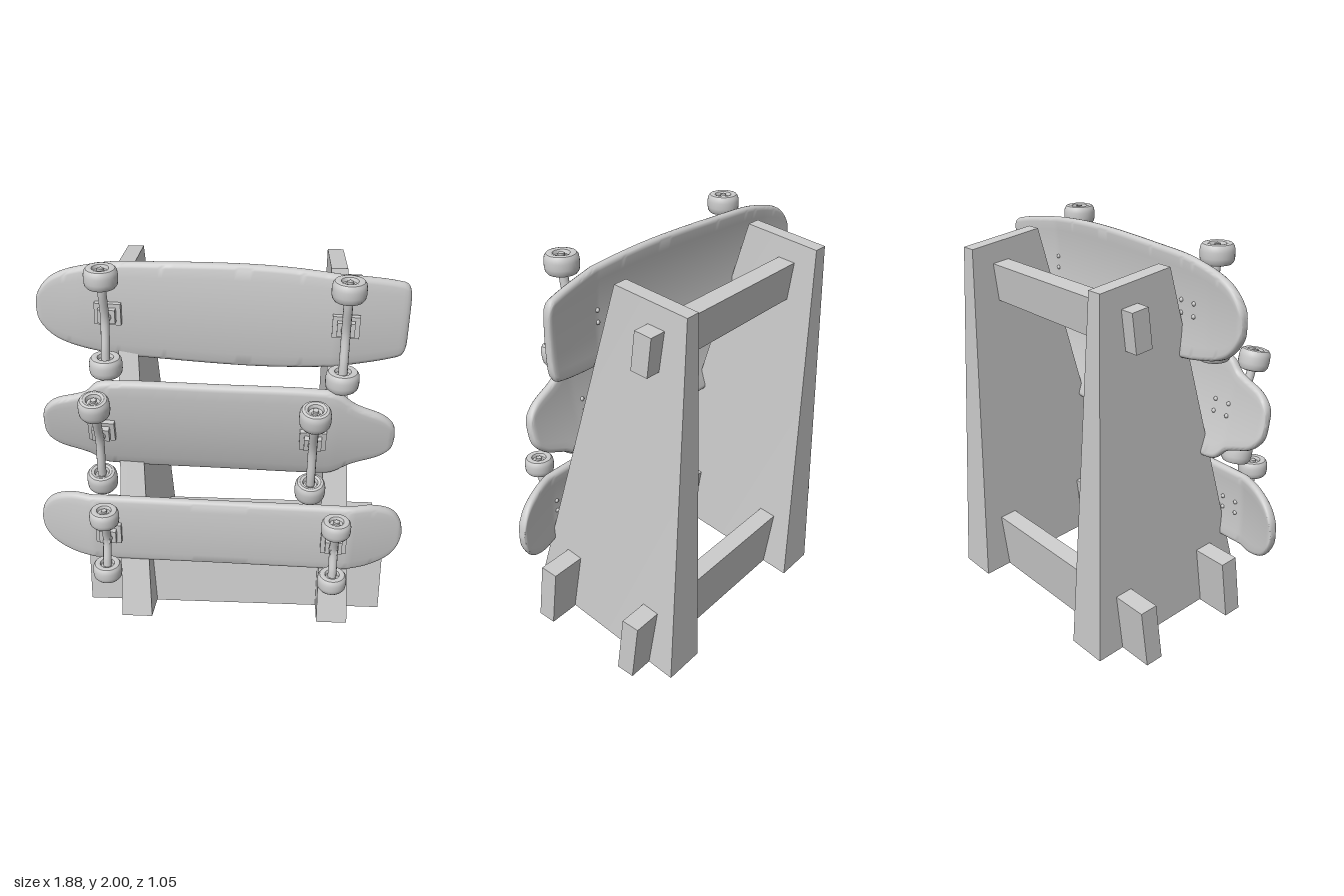
import * as THREE from 'three';
import { toCreasedNormals } from 'three/addons/utils/BufferGeometryUtils.js';

const material = new THREE.MeshStandardMaterial({ color: 0xcccccc, side: THREE.DoubleSide });

function add(parent, name, geometry, x = 0, y = 0, z = 0) {
  const mesh = new THREE.Mesh(geometry, material);
  mesh.name = name;
  mesh.position.set(x, y, z);
  parent.add(mesh);
  return mesh;
}

// Tapered, leaning upright: straight on the right, flaring on the left toward the foot
function uprightGeometry() {
  const geometry = new THREE.BoxGeometry(1, 1, 1);
  const p = geometry.attributes.position;
  const corners = { // [thickness, y, z]
    topFront: [0.08, 1.92, -0.115], topBack: [0.08, 1.865, -0.51],
    bottomFront: [0.16, 0.13, 0.4], bottomBack: [0.22, 0.005, -0.525],
  };
  for (let i = 0; i < p.count; i++) {
    const key = (p.getY(i) > 0 ? 'top' : 'bottom') + (p.getZ(i) > 0 ? 'Front' : 'Back');
    const [thick, y, z] = corners[key];
    p.setXYZ(i, p.getX(i) > 0 ? thick : 0, y, z);
  }
  geometry.computeVertexNormals();
  return geometry;
}

// Deck lofted along x from a half-outline, with rounded rails, concave and kicked ends
function deckGeometry({ outline, kickLeft, kickRight, concave = 0.02 }) {
  const T = 0.025;
  const curve = new THREE.CatmullRomCurve3(outline.map(([x, h]) => new THREE.Vector3(x, h, 0)), false, 'centripetal');
  const stations = curve.getSpacedPoints(110);
  const xMin = outline[0][0], xMax = outline[outline.length - 1][0];
  // Cross-section as [position across the flat, rail cos, rail sin]
  const profile = [];
  for (const side of [1, -1]) {
    for (let k = 0; k <= 8; k++) {
      const a = (k / 8 - 0.5) * Math.PI;
      profile.push([side, side * Math.cos(a), side * Math.sin(a)]);
    }
    for (let k = 1; k < 10; k++) profile.push([side * (1 - k / 5), 0, side]);
  }
  const n = profile.length, positions = [], index = [];
  for (const s of stations) {
    const x = THREE.MathUtils.clamp(s.x, xMin, xMax), h = Math.max(s.y, 0);
    const d = Math.min(1, (x - xMin) / T, (xMax - x) / T);
    const t = T * (0.35 + 0.65 * Math.sqrt(1 - (1 - d) ** 2));
    const r = Math.min(T, h);
    const kick = Math.max(0, x - kickRight[0]) * kickRight[1] + Math.max(0, -x - kickLeft[0]) * kickLeft[1];
    for (const [u, c, w] of profile) {
      const y = u * (h - r) + c * r;
      positions.push(x, y, w * t - kick - concave * (y / 0.25) ** 2);
    }
  }
  for (let i = 0; i < stations.length - 1; i++) {
    for (let j = 0; j < n; j++) {
      const a = i * n + j, d = i * n + (j + 1) % n, b = a + n, c = d + n;
      index.push(a, d, b, b, d, c);
    }
  }
  const geometry = new THREE.BufferGeometry();
  geometry.setAttribute('position', new THREE.Float32BufferAttribute(positions, 3));
  geometry.setIndex(index);
  return toCreasedNormals(geometry, 0.7);
}

// Wheel with rounded tread and recessed hub, axis along y
function wheelGeometry(R, W) {
  const half = [[0.25, 0.3], [0.42, 0.3], [0.5, 0.46], [0.68, 0.5], [0.85, 0.46], [0.96, 0.34], [1, 0.15]];
  const points = [
    ...half.map(([r, y]) => new THREE.Vector2(r * R, -y * W)),
    ...half.slice().reverse().map(([r, y]) => new THREE.Vector2(r * R, y * W)),
  ];
  return toCreasedNormals(new THREE.LatheGeometry(points, 32), 0.6);
}

function truck({ track, wheelR, wheelW, drop }) {
  const g = new THREE.Group();
  g.name = 'truck';
  add(g, 'baseplate', new THREE.BoxGeometry(0.13, 0.11, 0.03), 0, 0, 0.035);
  add(g, 'kingpinBlock', new THREE.BoxGeometry(0.085, 0.07, 0.04), 0, 0, 0.06);
  add(g, 'kingpin', new THREE.CylinderGeometry(0.02, 0.03, 0.08, 16), 0, 0, 0.075).rotation.x = Math.PI / 2;
  // Bowed hanger carrying the wheels
  const bow = new THREE.CatmullRomCurve3([
    [-track, drop], [-track * 0.65, drop - 0.008], [0, drop - 0.035], [track * 0.65, drop - 0.008], [track, drop],
  ].map(([y, z]) => new THREE.Vector3(0, y, z)));
  add(g, 'hanger', new THREE.TubeGeometry(bow, 24, 0.022, 12));
  for (const side of [1, -1]) {
    add(g, 'wheel', wheelGeometry(wheelR, wheelW), 0, side * track, drop);
    add(g, 'axle', new THREE.CylinderGeometry(0.022, 0.022, wheelW * 0.65, 16), 0, side * track, drop);
    add(g, 'axleNut', new THREE.CylinderGeometry(0.016, 0.016, wheelW * 0.9, 6), 0, side * track, drop);
    // Bolt heads on the riding side
    for (const dx of [-0.045, 0.045]) {
      add(g, 'bolt', new THREE.SphereGeometry(0.011, 10, 8), dx, side * 0.03, -0.026);
    }
  }
  return g;
}

function board(name, spec) {
  const g = new THREE.Group();
  g.name = name;
  add(g, 'deck', deckGeometry(spec));
  for (const x of spec.trucks) {
    const t = truck(spec);
    t.position.x = x;
    g.add(t);
  }
  g.position.set(...spec.position);
  g.rotation.set(...spec.rotation);
  return g;
}

export function createModel() {
  const model = new THREE.Group();
  model.name = 'skateboardRack';

  // Rack: two uprights and three tilted crossbars
  const rack = new THREE.Group();
  rack.name = 'rack';
  model.add(rack);
  for (const x of [-0.52, 0.515]) add(rack, 'upright', uprightGeometry(), x);
  const bars = [ // name, x from, x to, height, y, z
    ['upperCrossbar', -0.595, 0.69, 0.197, 1.685, -0.335],
    ['lowerBackCrossbar', -0.71, 0.855, 0.312, 0.185, -0.355],
    ['lowerFrontCrossbar', -0.71, 0.855, 0.315, 0.253, 0.17],
  ];
  for (const [name, x0, x1, h, y, z] of bars) {
    add(rack, name, new THREE.BoxGeometry(x1 - x0, h, 0.092), (x0 + x1) / 2, y, z).rotation.x = -0.13;
  }

  // Wide board with a rounded nose and a square kicked tail
  model.add(board('topBoard', {
    outline: [[-0.92, 0], [-0.91, 0.07], [-0.83, 0.165], [-0.6, 0.235], [-0.3, 0.255], [0.2, 0.264],
      [0.55, 0.24], [0.82, 0.202], [0.87, 0.185], [0.888, 0.14], [0.89, 0]],
    kickLeft: [0.7, 0.03], kickRight: [0.55, 0.2],
    trucks: [-0.555, 0.59], track: 0.23, wheelR: 0.081, wheelW: 0.1, drop: 0.14,
    position: [0, 1.72, 0.025], rotation: [0, -0.063, -0.008],
  }));

  // Board with stepped-in nose and tail, leaning forward
  model.add(board('middleBoard', {
    outline: [[-0.885, 0], [-0.875, 0.08], [-0.82, 0.14], [-0.71, 0.18], [-0.66, 0.2], [-0.6, 0.255], [-0.5, 0.267],
      [0, 0.27], [0.45, 0.27], [0.55, 0.26], [0.65, 0.19], [0.79, 0.125], [0.84, 0.07], [0.85, 0]],
    kickLeft: [0.65, 0.06], kickRight: [0.55, 0.06],
    trucks: [-0.587, 0.452], track: 0.237, wheelR: 0.076, wheelW: 0.105, drop: 0.14,
    position: [0, 1.19, 0.21], rotation: [0.19, -0.025, -0.005],
  }));

  // Narrow board with round ends, both kicked
  model.add(board('bottomBoard', {
    outline: [[-0.94, 0], [-0.925, 0.075], [-0.87, 0.145], [-0.77, 0.187], [-0.65, 0.195], [0, 0.195],
      [0.65, 0.195], [0.77, 0.187], [0.87, 0.145], [0.92, 0.075], [0.935, 0]],
    kickLeft: [0.66, 0.3], kickRight: [0.66, 0.33],
    trucks: [-0.57, 0.58], track: 0.167, wheelR: 0.074, wheelW: 0.09, drop: 0.13,
    position: [0, 0.63, 0.31], rotation: [0, -0.018, -0.008],
  }));

  return model;
}
